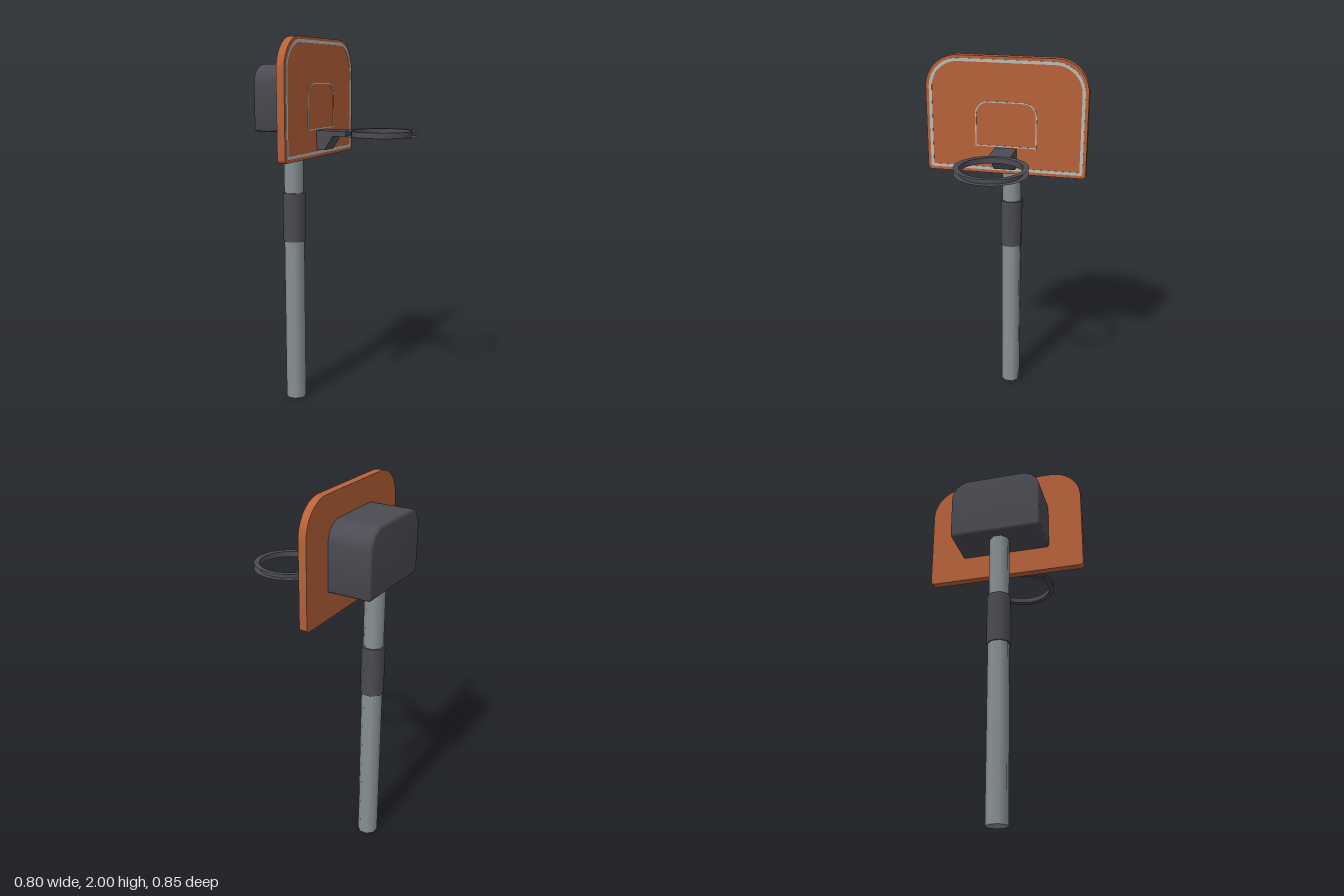
import * as THREE from 'three';
import { toCreasedNormals } from 'three/addons/utils/BufferGeometryUtils.js';

const mat = (name, color, side = THREE.FrontSide) =>
  Object.assign(new THREE.MeshStandardMaterial({ color, side }), { name });

// Panel outline in width and height, with large top and small bottom corner radii
function panelPath(PathType, halfW, y0, y1, rTop, rBottom) {
  const p = new PathType();
  p.moveTo(-halfW + rBottom, y0);
  p.lineTo(halfW - rBottom, y0);
  if (rBottom) p.absarc(halfW - rBottom, y0 + rBottom, rBottom, -Math.PI / 2, 0);
  p.lineTo(halfW, y1 - rTop);
  p.absarc(halfW - rTop, y1 - rTop, rTop, 0, Math.PI / 2);
  p.lineTo(-halfW + rTop, y1);
  p.absarc(-halfW + rTop, y1 - rTop, rTop, Math.PI / 2, Math.PI);
  p.lineTo(-halfW, y0 + rBottom);
  if (rBottom) p.absarc(-halfW + rBottom, y0 + rBottom, rBottom, Math.PI, Math.PI * 1.5);
  return p;
}

// Extrude an outline along +x, from x0 to x1
function extrudeX(shape, x0, x1, bevel = 0) {
  const g = new THREE.ExtrudeGeometry(shape, {
    depth: x1 - x0 - 2 * bevel, curveSegments: 7, bevelEnabled: bevel > 0,
    bevelSize: bevel, bevelThickness: bevel, bevelOffset: -bevel, bevelSegments: 3,
  });
  g.rotateY(Math.PI / 2).translate(x0 + bevel, 0, 0);
  return toCreasedNormals(g, 0.6);
}

export function createModel() {
  const model = new THREE.Group();
  model.name = 'basketballHoop';
  const steel = mat('pole grey', 0x899195);
  const dark = mat('dark grey', 0x4b4b53);
  const darkOpen = mat('rim dark grey', 0x4b4b53, THREE.DoubleSide);
  const orange = mat('board orange', 0xb8623a);
  const white = mat('line white', 0xbcbcb6);

  const add = (name, geometry, material, parent = model) => {
    const mesh = new THREE.Mesh(geometry, material);
    mesh.name = name;
    parent.add(mesh);
    return mesh;
  };

  // Eight-sided pole in two sections with a sleeve over the joint
  const tube = (name, apothem, y0, y1, material) => {
    const g = new THREE.CylinderGeometry(apothem / Math.cos(Math.PI / 8), apothem / Math.cos(Math.PI / 8), y1 - y0, 8);
    g.rotateY(Math.PI / 8).translate(-0.295, (y0 + y1) / 2, 0);
    add(name, g, material);
  };
  tube('lowerPole', 0.051, 0, 1.0, steel);
  tube('upperPole', 0.049, 1.0, 1.6, steel);
  tube('poleSleeve', 0.057, 0.91, 1.18, dark);

  // Housing behind the board
  add('housing', extrudeX(panelPath(THREE.Shape, 0.243, 1.523, 1.867, 0.1, 0.016), -0.4, -0.152, 0.015), dark);

  // Backboard and its painted lines
  add('backboard', extrudeX(panelPath(THREE.Shape, 0.426, 1.385, 2, 0.17, 0.02), -0.171, -0.129), orange);
  const outline = (name, halfW, y0, y1, r, rb, t) => {
    const shape = panelPath(THREE.Shape, halfW, y0, y1, r, rb);
    shape.holes.push(panelPath(THREE.Path, halfW - t, y0 + t, y1 - t, r - t, Math.max(rb - t, 0)));
    add(name, extrudeX(shape, -0.13, -0.127), white);
  };
  outline('borderLine', 0.409, 1.402, 1.985, 0.158, 0.01, 0.016);
  outline('targetLine', 0.163, 1.53, 1.77, 0.07, 0, 0.006);

  // Bracket: side profile extruded across the width
  const profile = new THREE.Shape([
    [-0.132, 1.423], [-0.085, 1.423], [-0.038, 1.496], [0.034, 1.496], [0.034, 1.525], [-0.132, 1.525],
  ].map(([x, y]) => new THREE.Vector2(x, y)));
  const bracket = new THREE.ExtrudeGeometry(profile, { depth: 0.116, bevelEnabled: false });
  add('bracket', bracket.translate(0, 0, -0.058), dark);

  // Rim: flat rings above and below, joined by an inner wall
  const rim = new THREE.Group();
  rim.name = 'rim';
  rim.position.set(0.213, 0, 0);
  model.add(rim);
  for (const [name, y, turn] of [['rimTop', 1.53, -1], ['rimBottom', 1.5, 1]]) {
    const ring = new THREE.RingGeometry(0.157, 0.186, 48);
    add(name, ring.rotateX(turn * Math.PI / 2).translate(0, y, 0), darkOpen, rim);
  }
  const wall = new THREE.CylinderGeometry(0.157, 0.157, 0.03, 48, 1, true);
  add('rimInnerWall', wall.translate(0, 1.515, 0), darkOpen, rim);

  return model;
}
